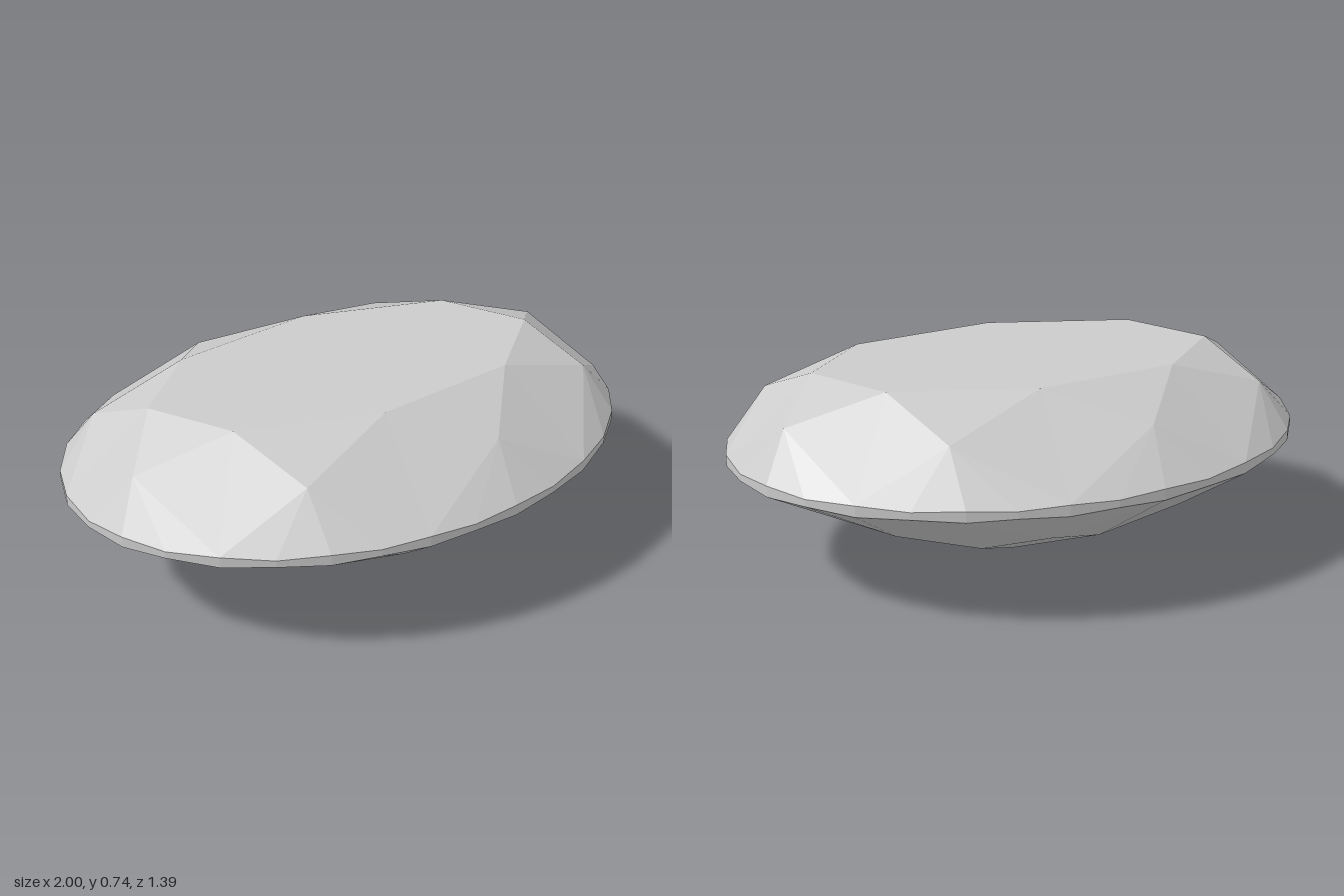
import * as THREE from 'three';

// Oval brilliant-cut gem: eight-fold facet pattern on an ellipse
const RX = 1, RZ = 0.695;
const TABLE_Y = 0.737, CROWN_Y = 0.63, LOWER_Y = 0.19, BREAK_Y = 0.268;

// Angles of the girdle points in one quarter, in degrees
const QUARTER = [0, 13, 24.8, 36.5, 48.6, 60, 70.6, 80.3];

const rad = THREE.MathUtils.degToRad;
const oval = (rx, rz, y, deg) =>
  new THREE.Vector3(rx * Math.cos(rad(deg)), y, rz * Math.sin(rad(deg)));

// Ring of eight points on an ellipse
const ring = (rx, rz, y, offset) =>
  Array.from({ length: 8 }, (_, i) => oval(rx, rz, y, i * 45 + offset));

// Ring of 32 girdle points, mirrored from the quarter; odd points are scalloped
function girdleRing(y, scallop) {
  const half = [...QUARTER, 90, ...QUARTER.slice(1).reverse().map((a) => 180 - a)];
  return [...half, ...half.map((a) => a + 180)]
    .map((a, i) => oval(RX, RZ, y + (i % 2 ? scallop : 0), a));
}

// Collects flat facets, each a fan of triangles turned to face outward
function facetMesh(name, facets, material) {
  const pos = [];
  const centre = new THREE.Vector3(0, 0.42, 0);
  for (const f of facets) {
    for (let i = 1; i < f.length - 1; i++) {
      let [a, b, c] = [f[0], f[i], f[i + 1]];
      const n = b.clone().sub(a).cross(c.clone().sub(a));
      const out = a.clone().add(b).add(c).divideScalar(3).sub(centre);
      if (n.dot(out) < 0) [b, c] = [c, b];
      for (const p of [a, b, c]) pos.push(p.x, p.y, p.z);
    }
  }
  const geo = new THREE.BufferGeometry();
  geo.setAttribute('position', new THREE.Float32BufferAttribute(pos, 3));
  geo.computeVertexNormals();
  const mesh = new THREE.Mesh(geo, material);
  mesh.name = name;
  return mesh;
}

export function createModel() {
  const group = new THREE.Group();
  group.name = 'ovalGem';
  const material = new THREE.MeshStandardMaterial({ color: 0xcccccc, flatShading: true });

  const table = ring(0.7, 0.34, TABLE_Y, 0);
  const crownMid = ring(0.898, 0.53, CROWN_Y, 22.5);
  const upper = girdleRing(0.473, -0.007);
  const lower = girdleRing(0.433, 0.007);
  const breakPts = ring(0.7, 0.5, BREAK_Y, 0);
  const pavilionMid = ring(0.54, 0.39, LOWER_Y, 22.5);
  const culet = new THREE.Vector3(0, 0, 0);
  const g = (pts, k) => pts[(k + 32) % 32];

  const stars = [], kites = [], upperHalves = [];
  const mains = [], lowerHalves = [], breaks = [];
  for (let i = 0; i < 8; i++) {
    const next = (i + 1) % 8, prev = (i + 7) % 8, k = i * 4;
    // Crown
    stars.push([table[i], table[next], crownMid[i]]);
    kites.push([table[i], crownMid[i], g(upper, k), crownMid[prev]]);
    upperHalves.push([crownMid[i], g(upper, k), g(upper, k + 1), g(upper, k + 2)]);
    upperHalves.push([crownMid[i], g(upper, k + 2), g(upper, k + 3), g(upper, k + 4)]);
    // Pavilion
    mains.push([culet, pavilionMid[prev], breakPts[i], pavilionMid[i]]);
    lowerHalves.push([breakPts[i], pavilionMid[i], g(lower, k + 2)]);
    lowerHalves.push([breakPts[i], pavilionMid[prev], g(lower, k - 2)]);
    breaks.push([breakPts[i], ...[-2, -1, 0, 1, 2].map((d) => g(lower, k + d))]);
  }

  // Thin band around the widest part
  const band = upper.map((p, k) => [p, g(upper, k + 1), g(lower, k + 1), lower[k]]);

  group.add(
    facetMesh('table', [table], material),
    facetMesh('starFacets', stars, material),
    facetMesh('crownKites', kites, material),
    facetMesh('upperGirdleFacets', upperHalves, material),
    facetMesh('girdle', band, material),
    facetMesh('breakFacets', breaks, material),
    facetMesh('lowerGirdleFacets', lowerHalves, material),
    facetMesh('pavilionMains', mains, material),
  );
  return group;
}
